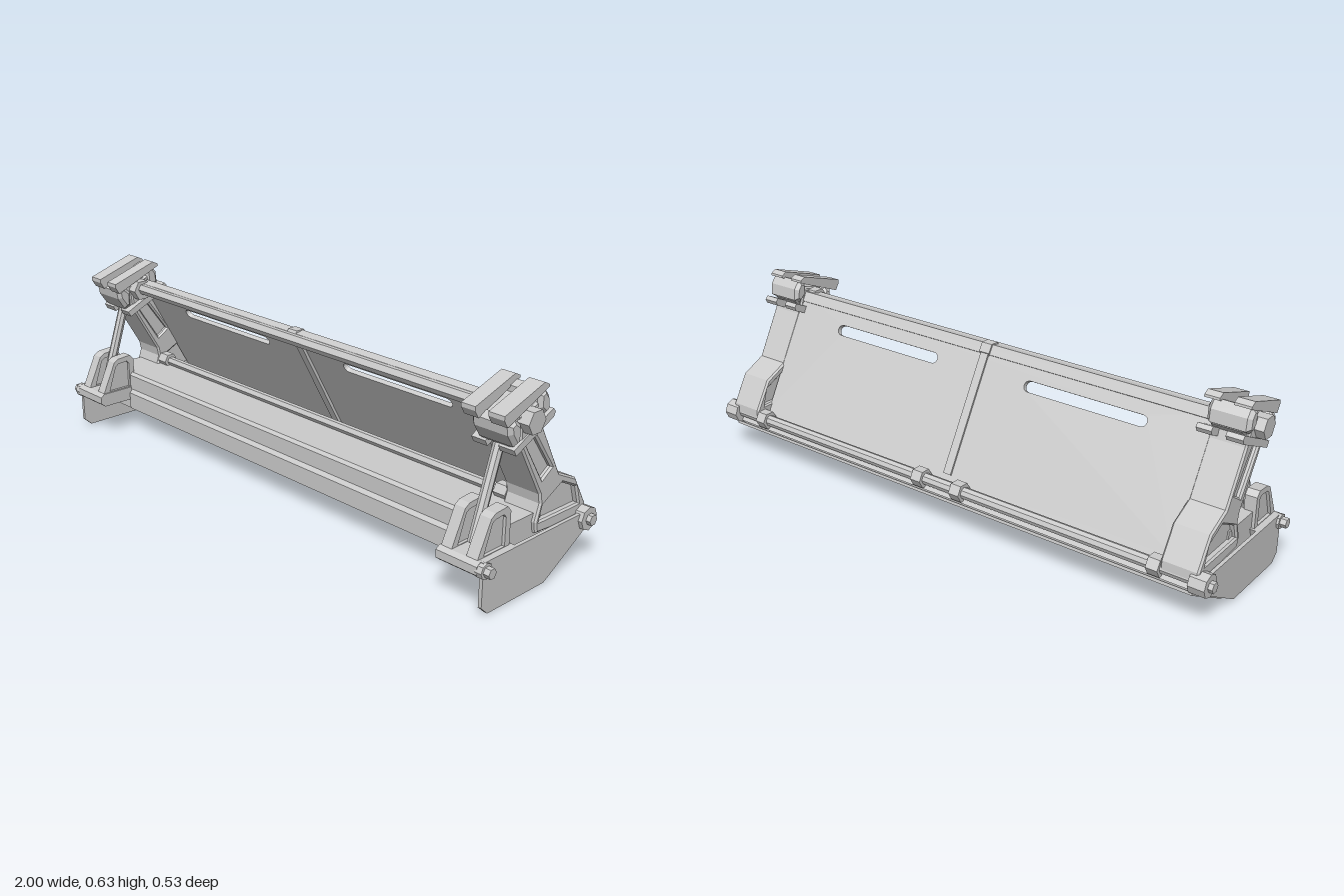
import * as THREE from 'three';

const mat = new THREE.MeshStandardMaterial({ color: 0xcccccc, flatShading: true });

function add(parent, name, geo) {
  const m = new THREE.Mesh(geo, mat);
  m.name = name;
  parent.add(m);
  return m;
}

const toShape = (pts) => new THREE.Shape(pts.map(([a, b]) => new THREE.Vector2(a, b)));

// Slab with a [z, y] outline, running between two x positions, with optional holes
function slab(parent, name, pts, xa, xb, holes = [], bevel = 0) {
  const shape = toShape(pts);
  holes.forEach((h) => shape.holes.push(toShape(h)));
  const x0 = Math.min(xa, xb), x1 = Math.max(xa, xb);
  const geo = new THREE.ExtrudeGeometry(shape, {
    depth: x1 - x0 - 2 * bevel, bevelEnabled: bevel > 0, bevelSegments: 1,
    bevelSize: bevel, bevelThickness: bevel, bevelOffset: -bevel,
  });
  geo.rotateY(-Math.PI / 2);
  geo.translate(x1 - bevel, 0, 0);
  return add(parent, name, geo);
}

// Prism along x with its centre at [z, y]
function bar(parent, name, [z, y], r, xa, xb, sides = 6) {
  const geo = new THREE.CylinderGeometry(r, r, Math.abs(xb - xa), sides);
  geo.rotateZ(Math.PI / 2);
  geo.translate((xa + xb) / 2, y, z);
  return add(parent, name, geo);
}

function buildBody(root) {
  const g = new THREE.Group();
  g.name = 'lowerBody';
  root.add(g);
  // Ramp with a hollow behind the front beam
  slab(g, 'rampAndBeam', [[-0.235, 0.12], [-0.05, 0.006], [0.02, 0.083], [0.128, 0.083], [0.128, 0.215],
    [0.118, 0.225], [-0.04, 0.225], [-0.055, 0.05], [-0.215, 0.15]], -0.94, 0.94);
  slab(g, 'rampPlate', [[-0.245, 0.122], [-0.247, 0.112], [-0.05, 0], [-0.044, 0.008]], -0.94, 0.94);
  slab(g, 'frontStrip', [[0.128, 0.085], [0.14, 0.09], [0.14, 0.15], [0.128, 0.162]], -0.81, 0.81);
  bar(g, 'beamRail', [-0.04, 0.24], 0.016, -0.835, 0.835);
  bar(g, 'rearHingeRod', [-0.225, 0.155], 0.02, -0.94, 0.94, 8);
  for (const x of [-0.81, -0.08, 0.08, 0.81])
    bar(g, 'rearHingeCollar', [-0.225, 0.155], 0.033, x - 0.02, x + 0.02);
  for (const x of [-0.81, 0.81])
    bar(g, 'beamRailCollar', [-0.04, 0.24], 0.028, x - 0.022, x + 0.022);
}

function buildPanel(root) {
  const g = new THREE.Group();
  g.name = 'backPanel';
  g.position.set(0, 0.17, -0.178);
  g.rotation.x = Math.atan2(0.212, 0.38);
  root.add(g);
  const L = 0.435;
  const sheet = toShape([[-0.835, 0], [0.835, 0], [0.835, L], [-0.835, L]]);
  // Long round-ended slots
  for (const s of [-1, 1]) {
    const slot = new THREE.Path();
    slot.absarc(s * 0.405 + 0.208, 0.35, 0.018, -Math.PI / 2, Math.PI / 2, false);
    slot.absarc(s * 0.405 - 0.208, 0.35, 0.018, Math.PI / 2, Math.PI * 1.5, false);
    slot.closePath();
    sheet.holes.push(slot);
  }
  const geo = new THREE.ExtrudeGeometry(sheet, { depth: 0.016, bevelEnabled: false, curveSegments: 4 });
  add(g, 'slottedSheet', geo.translate(0, 0, -0.008));
  add(g, 'centreRib', new THREE.BoxGeometry(0.03, L, 0.032).translate(0, L / 2, 0.002));
  add(g, 'panelFoot', new THREE.BoxGeometry(1.67, 0.06, 0.014).translate(0, -0.02, 0));

  // Top rail and the pivot tube in front of it
  slab(root, 'topRail', [[0.012, 0.535], [0.03, 0.52], [0.06, 0.52], [0.075, 0.54],
    [0.06, 0.558], [0.03, 0.565]], -0.83, 0.83);
  bar(root, 'pivotTube', [0.065, 0.54], 0.02, -0.84, 0.84);
  bar(root, 'topRailCollar', [0.04, 0.54], 0.031, -0.02, 0.02);
}

function buildEnd(root, s) {
  const g = new THREE.Group();
  g.name = s > 0 ? 'leftEnd' : 'rightEnd';
  root.add(g);

  // Thin skid plate, packed out from the ramp at its rear edge
  slab(g, 'sidePlate', [[0.248, 0.17], [0.248, 0.03], [0.22, 0.004], [-0.035, 0.004],
    [-0.05, 0.012], [-0.24, 0.122], [-0.24, 0.155], [-0.21, 0.17]], s * 0.96, s * 0.972);
  slab(g, 'sidePlateSpacer', [[-0.035, 0.005], [-0.05, 0.012], [-0.24, 0.122], [-0.24, 0.15],
    [-0.19, 0.165]], s * 0.935, s * 0.962);

  // Cranked arm with two sunken pockets
  const kneePocket = [[-0.018, 0.2], [-0.033, 0.247], [-0.118, 0.29], [-0.188, 0.256], [-0.207, 0.197]];
  const longPocket = [[0.068, 0.465], [0.032, 0.482], [-0.058, 0.358], [-0.018, 0.332]];
  slab(g, 'arm', [[0.1, 0.55], [0.09, 0.46], [-0.012, 0.286], [-0.018, 0.255], [0, 0.2], [-0.007, 0.165],
    [-0.2, 0.15], [-0.245, 0.16], [-0.243, 0.188], [-0.185, 0.286], [-0.1, 0.327], [-0.01, 0.49],
    [0.02, 0.58]], s * 0.83, s * 0.955, [kneePocket, longPocket], 0.006);
  slab(g, 'kneePocketFloor', kneePocket, s * 0.85, s * 0.935);
  slab(g, 'longPocketFloor', longPocket, s * 0.845, s * 0.94);

  // Rear pivot
  bar(g, 'rearPivot', [-0.225, 0.15], 0.038, s * 0.93, s * 0.985, 8);
  bar(g, 'rearPivotBolt', [-0.225, 0.15], 0.018, s * 0.98, s * 1.0);

  // Clamp head: core, pivot, faceted pads and pairs of sloping bars
  slab(g, 'headCore', [[0.15, 0.52], [0.12, 0.465], [0.03, 0.49], [-0.02, 0.54],
    [-0.01, 0.59], [0.1, 0.565]], s * 0.835, s * 0.945, [], 0.006);
  bar(g, 'headPivot', [0.065, 0.535], 0.038, s * 0.8, s * 0.985);
  slab(g, 'frontPad', [[0.157, 0.54], [0.152, 0.51], [0.125, 0.47], [0.1, 0.478], [0.1, 0.53], [0.13, 0.555]],
    s * 0.825, s * 0.965, [], 0.012);
  slab(g, 'rearPad', [[0.03, 0.6], [0.002, 0.612], [-0.02, 0.585], [-0.024, 0.545], [0.0, 0.53], [0.028, 0.555]],
    s * 0.825, s * 0.965, [], 0.012);
  for (const [a, b] of [[0.81, 0.86], [0.905, 0.96]]) {
    slab(g, 'upperBar', [[0.178, 0.575], [0.178, 0.562], [0.163, 0.538], [-0.013, 0.612],
      [-0.012, 0.62], [0.008, 0.63]], s * a, s * b);
    slab(g, 'lowerBar', [[0.128, 0.462], [0.117, 0.443], [-0.043, 0.515], [-0.05, 0.53],
      [-0.04, 0.542]], s * a, s * b);
  }

  // Strut between the clamp head and the front bracket
  const top = new THREE.Vector3(s * 0.885, 0.48, 0.09), foot = new THREE.Vector3(s * 0.885, 0.18, 0.19);
  const strut = add(g, 'strut', new THREE.CylinderGeometry(0.017, 0.017, top.distanceTo(foot), 8));
  strut.position.copy(top).lerp(foot, 0.5);
  strut.quaternion.setFromUnitVectors(new THREE.Vector3(0, 1, 0), foot.clone().sub(top).normalize());

  // Front bracket: two cheeks with pockets on a base block
  const cheekPocket = [[0.222, 0.172], [0.19, 0.262], [0.178, 0.27], [0.14, 0.273], [0.131, 0.262], [0.131, 0.172]];
  for (const [a, b] of [[0.82, 0.858], [0.91, 0.95]]) {
    slab(g, 'bracketCheek', [[0.25, 0.165], [0.196, 0.278], [0.178, 0.289], [0.125, 0.293],
      [0.11, 0.275], [0.11, 0.165]], s * a, s * b, [cheekPocket]);
    slab(g, 'cheekPocketFloor', cheekPocket, s * (a + 0.01), s * (b - 0.01));
  }
  slab(g, 'bracketBase', [[0.25, 0.17], [0.265, 0.16], [0.265, 0.135], [0.248, 0.122],
    [0.12, 0.122], [0.1, 0.17]], s * 0.815, s * 0.962);
  bar(g, 'frontBoltCollar', [0.242, 0.146], 0.025, s * 0.955, s * 0.98, 8);
  bar(g, 'frontBolt', [0.242, 0.146], 0.017, s * 0.975, s * 1.0);
}

export function createModel() {
  const root = new THREE.Group();
  root.name = 'bladeAssembly';
  buildBody(root);
  buildPanel(root);
  for (const s of [-1, 1]) buildEnd(root, s);
  return root;
}
